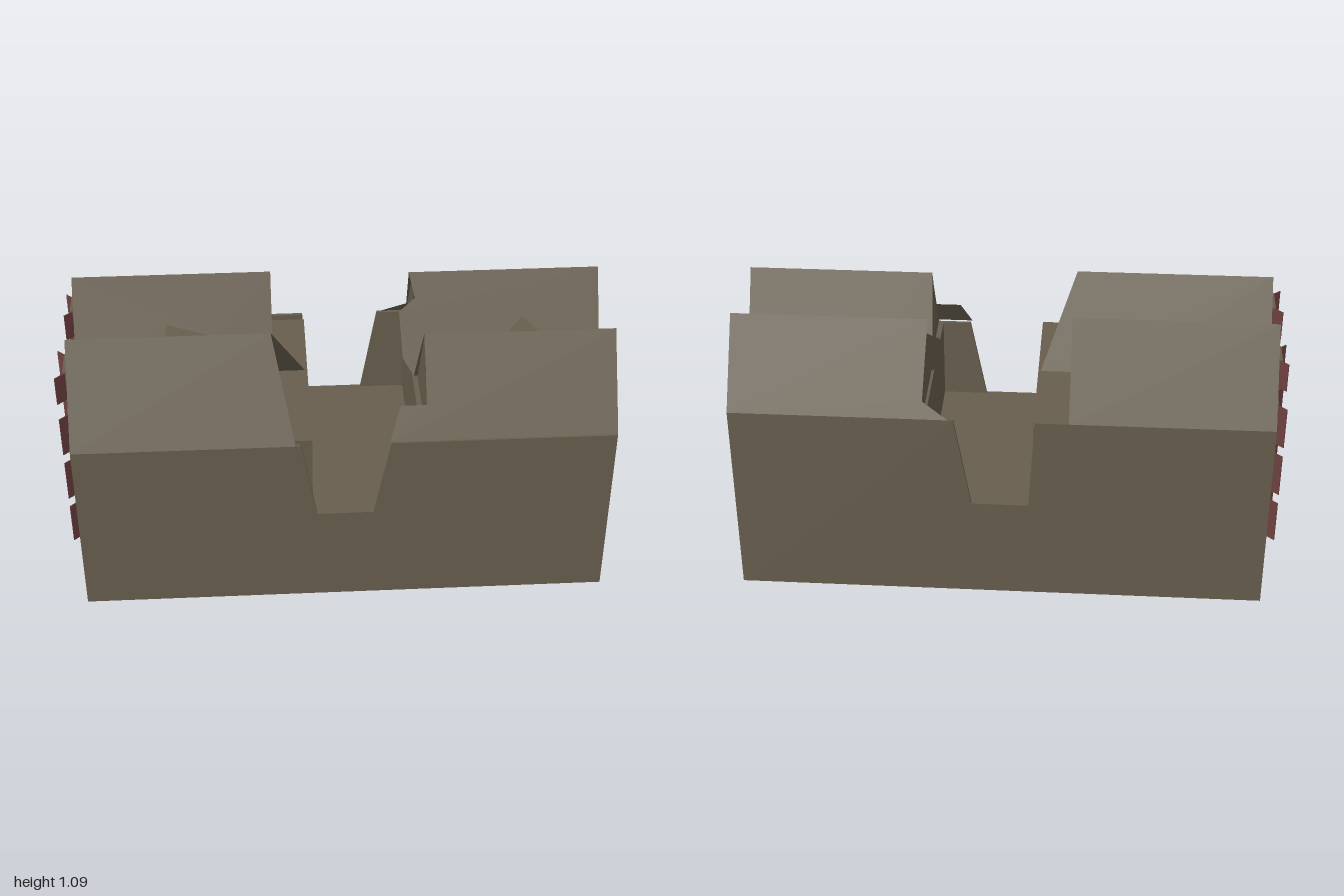
import * as THREE from 'three';

const mat = (name, color, side = THREE.FrontSide) => {
  const m = new THREE.MeshStandardMaterial({ color, side });
  m.name = name;
  return m;
};

export function createModel() {
  const stone = mat('stone', 0x675e4e, THREE.DoubleSide);
  const glass = mat('glass', 0x4c656a);
  const red = mat('redPaint', 0x6e4040);
  const root = new THREE.Group();
  root.name = 'rowHouse';
  const W = 0.395, L = 0.984, T = 0.012;

  const add = (name, geo, material, parent = root) => {
    const m = new THREE.Mesh(geo, material);
    m.name = name;
    parent.add(m);
    return m;
  };
  const shapeOf = pts => new THREE.Shape(pts.map(p => new THREE.Vector2(p[0], p[1])));

  // Long walls and core: side profiles (z, y) extruded across the width
  const across = (name, pts, x0, x1) => {
    const g = new THREE.ExtrudeGeometry(shapeOf(pts), { depth: x1 - x0, bevelEnabled: false });
    g.rotateY(-Math.PI / 2);
    g.translate(x1, 0, 0);
    add(name, g, stone);
  };
  const sideWall = (top, zFront) => [[-L, 0], [L, 0], [L, top], [zFront, top],
    [0.105, 0.4], [-0.105, 0.4], [-0.167, top], [-L, top]];
  across('rightWall', sideWall(0.76, 0.126), -W, -W + T);
  across('leftWall', sideWall(0.722, 0.16), W - T, W);
  // The core is raised, leaving the underside open, and is cut down to a floor at the gap
  across('floors', [[-L + T, 0.2], [L - 0.004, 0.2], [L - 0.004, 0.738], [0.12, 0.738],
    [0.12, 0.4], [-0.275, 0.4], [-0.275, 0.722], [-L + T, 0.722]], -W + T, W - T);

  // End walls
  const endWall = (name, depth, z) => {
    const g = new THREE.BoxGeometry(2 * (W - T), 0.72, depth);
    g.translate(0, 0.36, z);
    add(name, g, stone);
  };
  endWall('frontWall', 0.004, L - 0.002);
  endWall('rearWall', T, -L + T / 2);

  // Roof section points, from right eave to left eave
  const front = [[-W, 0.76], [-0.198, 1.085], [-0.022, 0.755], [0.183, 1.072], [W, 0.722]];
  const rear = [[-W, 0.76], [-0.2, 1.062], [0, 0.728], [0.185, 1.047], [W, 0.728]];

  // Gable walls closing a pair of roofs
  const gable = (name, [a, r, b], z) => {
    const g = new THREE.ShapeGeometry(shapeOf([[a[0], 0.72], [b[0], 0.72], b, r, a]));
    g.translate(0, 0, z);
    add(name, g, stone);
  };
  gable('frontRightGable', front.slice(0, 3), L);
  gable('frontLeftGable', front.slice(2), L);
  gable('rearRightGable', rear.slice(0, 3), -L);
  gable('rearLeftGable', rear.slice(2), -L);
  gable('innerRightGable', rear.slice(0, 3), -0.285);
  gable('innerLeftGable', rear.slice(2), -0.294);

  // Roof slopes: broken outlines in plan (x, z), lifted onto the line from p to q
  const slope = (name, p, q, plan) => {
    const g = new THREE.ShapeGeometry(shapeOf(plan));
    const pos = g.attributes.position;
    for (let i = 0; i < pos.count; i++) {
      const x = pos.getX(i), z = pos.getY(i);
      pos.setXYZ(i, x, p[1] + (q[1] - p[1]) * (x - p[0]) / (q[0] - p[0]), z);
    }
    g.computeVertexNormals();
    add(name, g, stone);
  };
  const frontPlans = [
    [[-W, 0.248], [-0.198, 0.248], [-0.198, L], [-W, L]],
    [[-0.198, 0.248], [-0.022, 0.248], [-0.022, 0.458], [-0.087, 0.468], [-0.11, 0.64],
      [-0.022, 0.675], [-0.022, L], [-0.198, L]],
    [[-0.022, 0.13], [0.183, 0.256], [0.183, L], [-0.022, L], [-0.022, 0.675], [0.004, 0.685],
      [0.056, 0.638], [0.028, 0.548], [-0.022, 0.458]],
    [[0.183, 0.256], [W, 0.18], [W, L], [0.183, L]],
  ];
  const rearPlans = [
    [[-W, -0.185], [-0.36, -0.28], [-0.2, -0.27], [-0.2, -L], [-W, -L]],
    [[-0.2, -0.27], [-0.15, -0.29], [-0.125, -0.23], [-0.034, -0.24], [0, -0.28], [0, -0.545],
      [-0.03, -0.56], [-0.108, -0.69], [0, -0.95], [0, -L], [-0.2, -L]],
    [[0, -0.28], [0.185, -0.292], [0.185, -L], [0, -L], [0, -0.95], [0.095, -0.53], [0, -0.545]],
    [[0.185, -0.292], [0.324, -0.297], [0.324, -0.2], [W, -0.16], [W, -L], [0.185, -L]],
  ];
  frontPlans.forEach((plan, i) => slope('frontRoofSlope', front[i], front[i + 1], plan));
  rearPlans.forEach((plan, i) => slope('rearRoofSlope', rear[i], rear[i + 1], plan));

  // Facade details
  const facade = new THREE.Group();
  facade.name = 'facade';
  facade.position.z = L;
  root.add(facade);

  const plate = (name, geo, x, y, z, material) =>
    add(name, geo, material, facade).position.set(x, y, z);

  // Shuttered windows: pane, thin surround and two leaves swung outwards
  const shutteredWindow = (x0, x1, y0, y1) => {
    const w = x1 - x0, h = y1 - y0, cx = (x0 + x1) / 2, cy = (y0 + y1) / 2;
    plate('windowPane', new THREE.PlaneGeometry(w, h), cx, cy, 0.004, glass);
    plate('windowJamb', new THREE.BoxGeometry(0.006, h, 0.012), x1, cy, 0.006, stone);
    const len = w * 0.48;
    for (const s of [-1, 1]) {
      plate('windowLedge', new THREE.BoxGeometry(w + 0.012, 0.007, 0.014), cx, cy + s * h / 2, 0.007, stone);
      const leaf = add('shutter', new THREE.BoxGeometry(len, h * 0.96, 0.003), red, facade);
      leaf.position.set(cx + s * (w / 2 + 0.338 * len), cy, 0.004 + 0.368 * len);
      leaf.rotation.y = -s * 0.829;
    }
  };
  for (const [y0, y1] of [[0.205, 0.38], [0.412, 0.588], [0.62, 0.79]]) {
    shutteredWindow(-0.254, -0.146, y0, y1);
    shutteredWindow(0.136, 0.24, y0, y1);
  }
  shutteredWindow(-0.242, -0.156, 0.85, 0.965);
  shutteredWindow(0.136, 0.238, 0.85, 0.97);

  // Small oval windows
  for (const y of [0.298, 0.505, 0.71]) {
    for (const x of [-0.35, -0.052]) {
      const g = new THREE.CircleGeometry(1, 10);
      g.scale(0.037, 0.042, 1);
      plate('ovalWindow', g, x, y, 0.004, glass);
    }
  }

  // Arched doorways with a red leaf on either side, thin slabs set through the wall
  const arch = (half, straight, rise) => {
    const s = new THREE.Shape();
    s.moveTo(-half, 0);
    s.lineTo(half, 0);
    s.lineTo(half, straight);
    s.absellipse(0, straight, half, rise, 0, Math.PI, false);
    s.lineTo(-half, 0);
    return new THREE.ExtrudeGeometry(s, { depth: 0.009, bevelEnabled: false, curveSegments: 8 });
  };
  for (const x of [-0.193, 0.199]) {
    plate('doorway', arch(0.067, 0.1, 0.075), x, 0, -0.0065, glass);
    for (const s of [-1, 1]) {
      plate('doorLeaf', arch(0.03, 0.06, 0.05), x + s * 0.097, 0, -0.0065, red);
    }
  }

  // The building stands diagonally on its plot
  root.rotation.y = -0.743;
  const model = new THREE.Group();
  model.name = 'building';
  model.add(root);
  return model;
}
